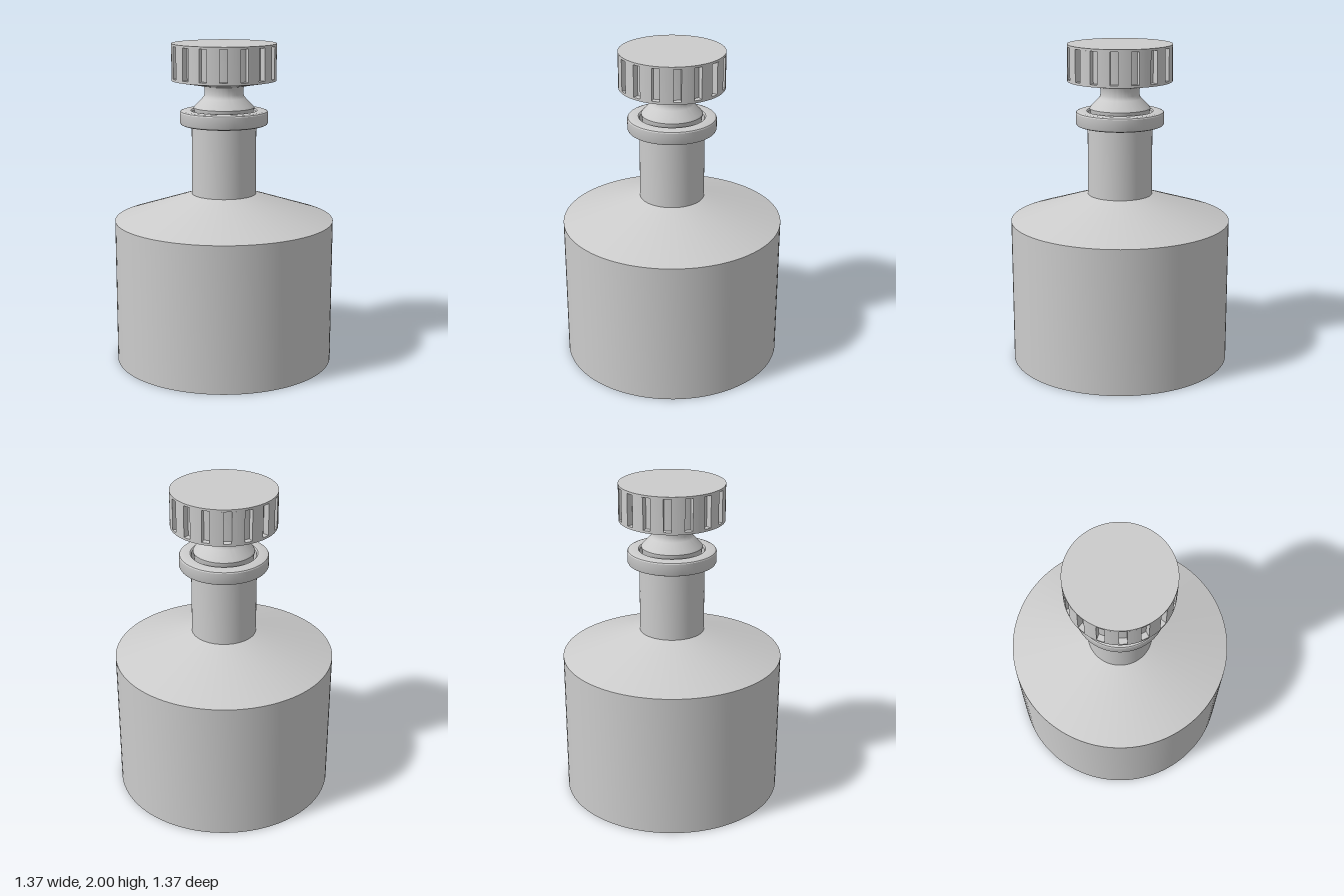
import * as THREE from 'three';
import { toCreasedNormals } from 'three/addons/utils/BufferGeometryUtils.js';

const material = new THREE.MeshStandardMaterial({ color: 0xcccccc });

function addMesh(parent, name, geometry) {
  const mesh = new THREE.Mesh(toCreasedNormals(geometry, 0.5), material);
  mesh.name = name;
  parent.add(mesh);
  return mesh;
}

// Turned part from a profile of [radius, height] running up the outside
function turned(profile, segments = 96) {
  return new THREE.LatheGeometry(profile.map(([r, y]) => new THREE.Vector2(r, y)), segments);
}

export function createModel() {
  const model = new THREE.Group();
  model.name = 'stopperedBottle';

  // Body, sloping shoulder, neck and flanged lip, with the mouth turned inward
  addMesh(model, 'bottle', turned([
    [0, 0], [0.683, 0], [0.683, 0.905], [0.2, 1.067], [0.2, 1.5],
    [0.255, 1.5], [0.267, 1.505], [0.272, 1.515],
    [0.272, 1.578], [0.268, 1.585], [0.255, 1.59],
    [0.205, 1.59], [0.197, 1.582], [0.194, 1.4], [0.16, 1.22], [0, 1.22],
  ]));

  const stopper = new THREE.Group();
  stopper.name = 'stopper';
  model.add(stopper);

  // Tapered plug rising to a narrow stem
  addMesh(stopper, 'plug', turned([
    [0, 1.3], [0.155, 1.3], [0.183, 1.59], [0.187, 1.6], [0.187, 1.607], [0.18, 1.618],
    [0.132, 1.667], [0.124, 1.678], [0.12, 1.692], [0.12, 1.725], [0.127, 1.75],
  ]));

  // Knob core: solid top and bottom bands with a recessed floor between them
  const outer = 0.322, inner = 0.285, low = 1.79, high = 1.986;
  addMesh(stopper, 'knob', turned([
    [0, 1.74], [0.12, 1.74], [outer, 1.775], [outer, low], [inner, low],
    [inner, high], [outer, high], [outer, 2], [0, 2],
  ]));

  // Grip ribs separated by parallel-sided slots
  const count = 16, pitch = (Math.PI * 2) / count, halfSlot = 0.024, offset = 0.082;
  const gap = (r) => Math.asin(halfSlot / r);
  const rib = new THREE.Shape();
  const root = inner - 0.01;
  rib.absarc(0, 0, outer, gap(outer), pitch - gap(outer), false);
  rib.absarc(0, 0, root, pitch - gap(root), gap(root), true);
  const ribGeometry = new THREE.ExtrudeGeometry(rib, {
    depth: high - low, bevelEnabled: false, curveSegments: 6,
  }).rotateX(-Math.PI / 2);
  for (let i = 0; i < count; i++) {
    const mesh = addMesh(stopper, 'gripRib', ribGeometry);
    mesh.position.y = low;
    mesh.rotation.y = i * pitch + offset;
  }

  return model;
}
